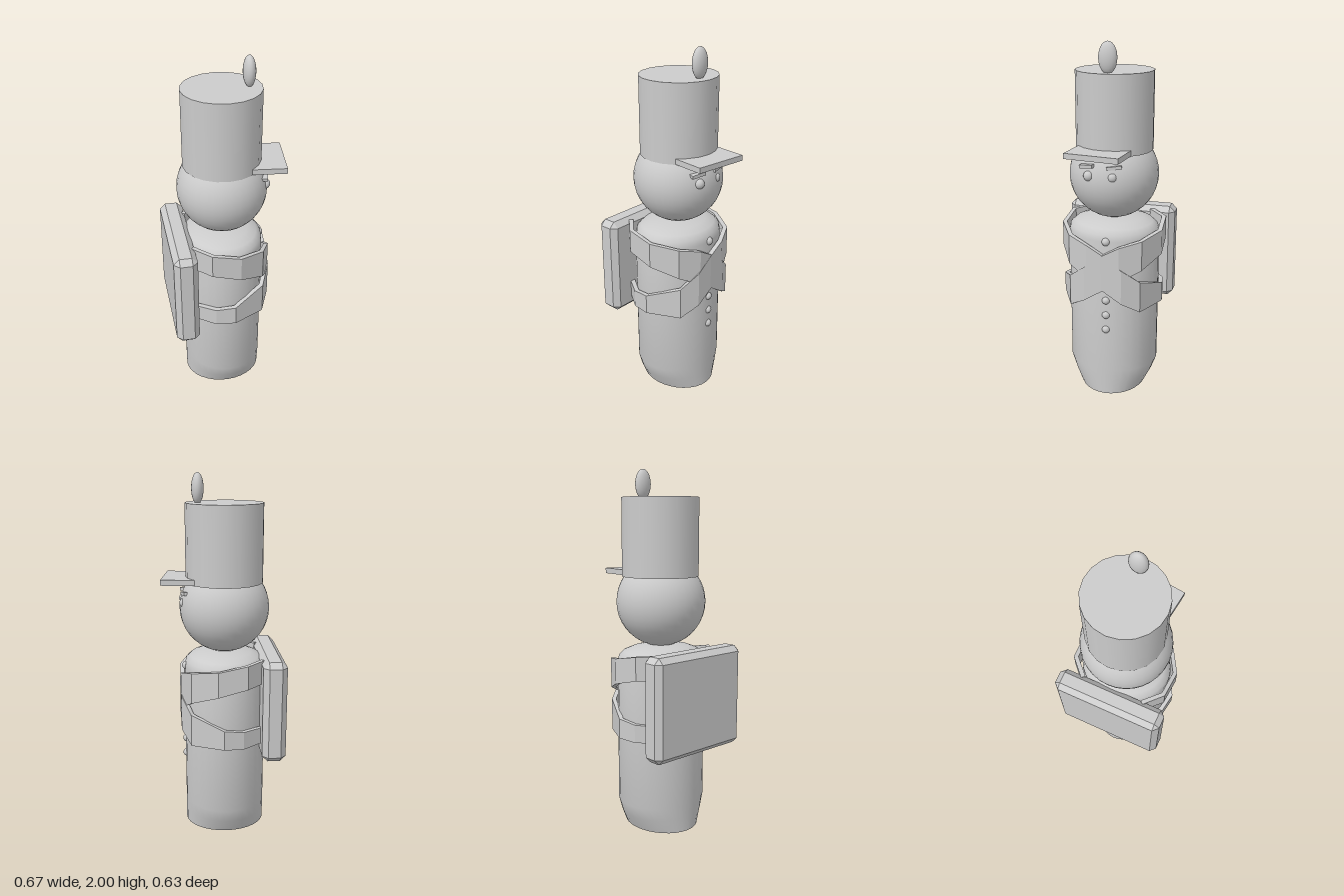
import * as THREE from 'three';
import { toCreasedNormals } from 'three/addons/utils/BufferGeometryUtils.js';
import { ConvexGeometry } from 'three/addons/geometries/ConvexGeometry.js';

const CX = -0.018, CZ = -0.01; // axis of the figure, which faces +x

export function createModel() {
  const model = new THREE.Group();
  const smooth = new THREE.MeshStandardMaterial({ color: 0xcccccc });
  const flat = new THREE.MeshStandardMaterial({ color: 0xcccccc, flatShading: true });

  function add(name, geometry, x = 0, y = 0, z = 0, material = smooth) {
    const mesh = new THREE.Mesh(geometry, material);
    mesh.name = name;
    mesh.position.set(x, y, z);
    model.add(mesh);
    return mesh;
  }

  // Oval body: the sides pinch in towards the foot, the shoulders are domed
  const profile = [[0, 0], [1, 0], [1, 0.08], [1, 0.155], [1, 0.95], [0.97, 0.985], [0.86, 1.01], [0.65, 1.03], [0.35, 1.043], [0, 1.045]];
  const body = new THREE.LatheGeometry(profile.map(([r, y]) => new THREE.Vector2(r, y)), 32);
  const pos = body.attributes.position;
  for (let i = 0; i < pos.count; i++) {
    const t = Math.min(pos.getY(i) / 0.155, 1);
    pos.setX(i, pos.getX(i) * 0.225);
    pos.setZ(i, pos.getZ(i) * (0.19 + 0.067 * Math.pow(t, 0.8)));
  }
  add('body', toCreasedNormals(body, 0.7), -0.02, 0, CZ);

  // Head and tall hat
  add('head', new THREE.SphereGeometry(0.247, 32, 20), CX, 1.28, CZ);
  add('hat', new THREE.CylinderGeometry(0.212, 0.212, 0.424, 20), CX, 1.632, -0.013);
  add('visor', new THREE.BoxGeometry(0.183, 0.03, 0.302), 0.221, 1.437, 0.017).rotation.y = -0.125;
  add('plume', new THREE.SphereGeometry(1, 20, 14), 0.125, 1.918, -0.013).scale.set(0.033, 0.082, 0.05);

  // Eyes and brows
  for (const [side, z] of [['left', -0.058], ['right', 0.072]]) {
    add(side + 'Eye', new THREE.SphereGeometry(0.028, 14, 10), 0.202, 1.315, z);
    const brow = add(side + 'Brow', new THREE.BoxGeometry(0.04, 0.018, 0.08), 0.195, 1.367, z + 0.008 * Math.sign(z));
    brow.rotation.set(0.12, -z * 4, 0);
  }

  // Coat buttons
  for (const y of [0.95, 0.6, 0.51, 0.42]) {
    add('button', new THREE.SphereGeometry(0.023, 12, 10), 0.198, y, -0.02);
  }

  // Backpack: a box with every edge chamfered
  const half = [0.065, 0.283, 0.317], bevel = 0.031, corners = [];
  for (const sx of [-1, 1]) for (const sy of [-1, 1]) for (const sz of [-1, 1]) {
    for (let full = 0; full < 3; full++) {
      const p = half.map((h, i) => (i === full ? h : h - bevel));
      corners.push(new THREE.Vector3(p[0] * sx, p[1] * sy, p[2] * sz));
    }
  }
  add('backpack', new ConvexGeometry(corners), -0.27, 0.752, -0.001, flat);

  // Crossed straps: x, y, z and half height along the band
  const path = [
    [-0.215, 0.955, 0.17, 0.065], [-0.12, 0.95, 0.26, 0.065], [0.03, 0.915, 0.268, 0.07],
    [0.165, 0.875, 0.19, 0.085], [0.217, 0.83, 0.08, 0.1], [0.22, 0.77, -0.015, 0.105],
    [0.217, 0.7, -0.11, 0.1], [0.17, 0.63, -0.2, 0.09], [0, 0.6, -0.287, 0.055],
    [-0.1, 0.59, -0.27, 0.05], [-0.215, 0.59, -0.19, 0.045],
  ];
  const mirrored = path.map(([x, y, z, h]) => [x, y, -0.016 - z, h]).reverse();
  add('strapDownToLeft', bandGeometry(path, 0.012), 0, 0, 0, flat);
  add('strapDownToRight', bandGeometry(mirrored, 0.013), 0, 0, 0, flat);

  return model;
}

// Sweeps an upright rectangular section along a path
function bandGeometry(path, halfThickness) {
  const vertices = [], index = [];
  path.forEach(([x, y, z, h], i) => {
    const a = path[Math.max(i - 1, 0)], b = path[Math.min(i + 1, path.length - 1)];
    const n = new THREE.Vector2(b[2] - a[2], a[0] - b[0]).normalize().multiplyScalar(halfThickness);
    for (const [s, v] of [[1, 1], [1, -1], [-1, -1], [-1, 1]]) {
      vertices.push(x + n.x * s, y + h * v, z + n.y * s);
    }
    if (i === 0) return;
    const q = (i - 1) * 4;
    for (let k = 0; k < 4; k++) {
      const c = q + k, d = q + (k + 1) % 4;
      index.push(c, c + 4, d, d, c + 4, d + 4);
    }
  });
  const e = (path.length - 1) * 4;
  index.push(0, 1, 2, 0, 2, 3, e, e + 2, e + 1, e, e + 3, e + 2);
  // Orient every face away from the figure, whichever way the path runs
  const geometry = new THREE.BufferGeometry();
  geometry.setAttribute('position', new THREE.Float32BufferAttribute(vertices, 3));
  if (signedVolume(vertices, index) < 0) index.reverse();
  geometry.setIndex(index);
  geometry.computeVertexNormals();
  return geometry;
}

function signedVolume(v, index) {
  const at = (i) => new THREE.Vector3().fromArray(v, i * 3);
  let sum = 0;
  for (let i = 0; i < index.length; i += 3) {
    sum += at(index[i]).dot(at(index[i + 1]).cross(at(index[i + 2])));
  }
  return sum;
}
